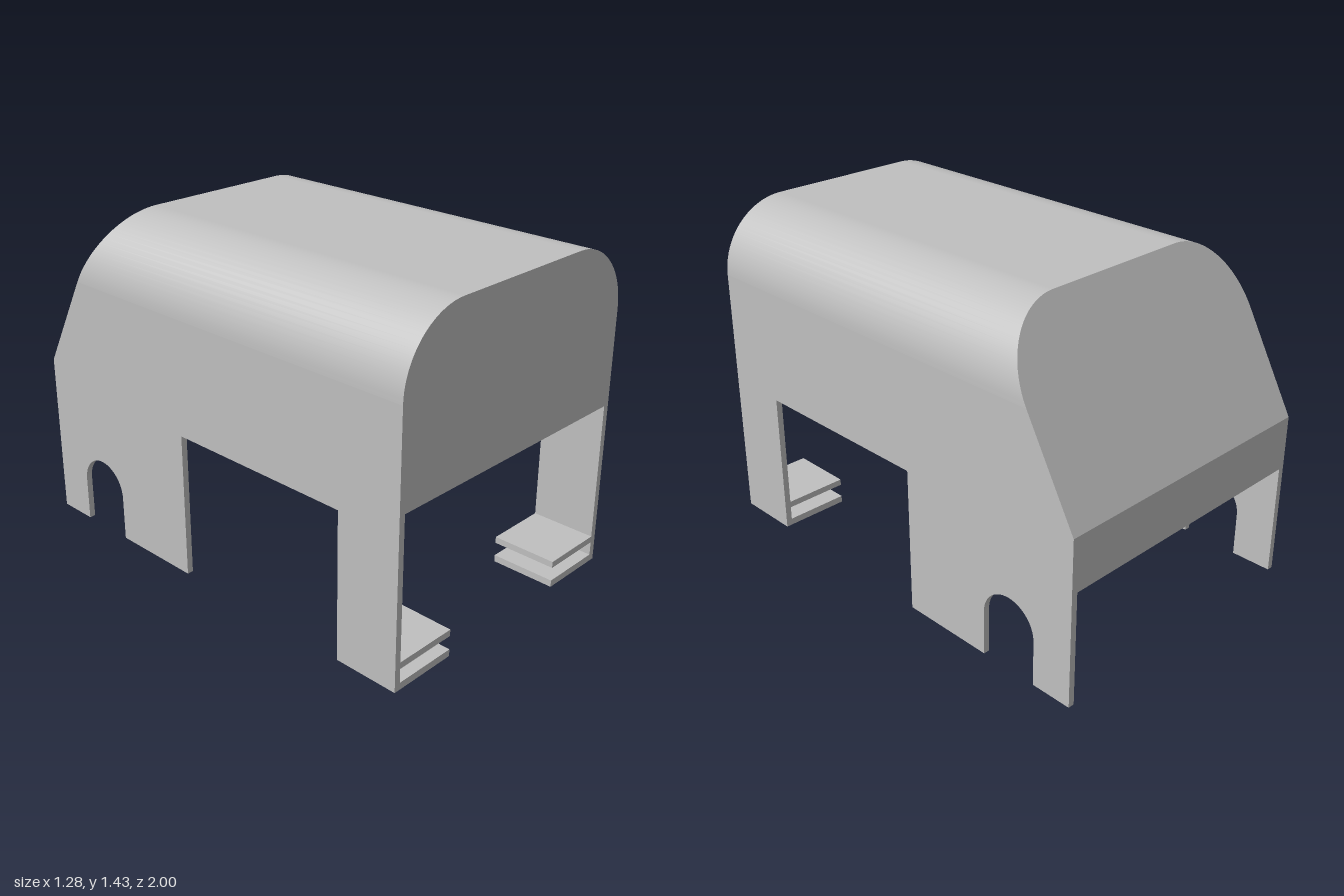
import * as THREE from 'three';

const W = 0.64, H = 1.43, R = 0.3, T = 0.027; // half width, height, corner radius, wall thickness
const SPRING = H - R;                         // where the side walls start to curve
const KNEE = 0.72, BACK_LOW = 0.49;           // foot of the slope, lower edge of the back
const SLOPE = 0.395 / (H - KNEE);
const backZ = (y) => -1 + Math.max(0, y - KNEE) * SLOPE;

const shellGrey = new THREE.MeshStandardMaterial({ color: 0xc0c0c0, side: THREE.DoubleSide });
shellGrey.name = 'light grey';

function add(parent, name, geometry) {
  const mesh = new THREE.Mesh(geometry, shellGrey);
  mesh.name = name;
  parent.add(mesh);
  return mesh;
}

// Smooth surface through rows of points
function loft(rows) {
  const n = rows[0].length, index = [];
  for (let i = 0; i < rows.length - 1; i++) {
    for (let j = 0; j < n - 1; j++) {
      const a = i * n + j, b = a + n;
      index.push(a, b, a + 1, b, b + 1, a + 1);
    }
  }
  const g = new THREE.BufferGeometry();
  g.setAttribute('position', new THREE.Float32BufferAttribute(rows.flat(2), 3));
  g.setIndex(index);
  g.computeVertexNormals();
  return g;
}

// Rounded roof outline from +x to -x, inset by t
function arch(t, steps = 20) {
  const pts = [];
  for (const side of [0, 1]) {
    for (let i = 0; i <= steps; i++) {
      const a = (side + i / steps) * Math.PI / 2;
      pts.push([(side ? -1 : 1) * (W - R) + (R - t) * Math.cos(a), SPRING + (R - t) * Math.sin(a)]);
    }
  }
  return pts;
}

// Inner half width of the tunnel at height y
function innerHalf(y) {
  const d = Math.max(0, y - SPRING), r = R - T;
  return W - R + Math.sqrt(Math.max(0, r * r - d * d));
}

export function createModel() {
  const model = new THREE.Group();
  model.name = 'hood';

  // Curved roof: outer skin, inner skin and the two edges
  const roof = new THREE.Group();
  roof.name = 'roof';
  model.add(roof);
  const outer = arch(0), inner = arch(T);
  const atFront = ([x, y]) => [x, y, 1], atBack = ([x, y]) => [x, y, backZ(y)];
  add(roof, 'roofOuter', loft(outer.map((p) => [atBack(p), atFront(p)])));
  add(roof, 'roofInner', loft(inner.map((p) => [atFront(p), atBack(p)])));
  add(roof, 'roofFrontEdge', loft(outer.map((p, i) => [atFront(p), atFront(inner[i])])));
  add(roof, 'roofBackEdge', loft(outer.map((p, i) => [atBack(inner[i]), atBack(p)])));

  // Side wall outline, drawn with u = -z
  const side = new THREE.Shape();
  side.moveTo(-1, 0);
  side.lineTo(-0.715, 0);
  side.lineTo(-0.715, 0.635);
  side.lineTo(0.14, 0.635);
  side.lineTo(0.14, 0);
  side.lineTo(0.56, 0);
  side.lineTo(0.56, 0.195);
  side.absarc(0.69, 0.195, 0.13, Math.PI, 0, true);
  side.lineTo(0.82, 0);
  side.lineTo(1, 0);
  side.lineTo(1, KNEE);
  side.lineTo(-backZ(SPRING), SPRING);
  side.lineTo(-1, SPRING);
  side.closePath();

  for (const [s, label] of [[1, 'left'], [-1, 'right']]) {
    const wall = new THREE.ExtrudeGeometry(side, { depth: T, bevelEnabled: false, curveSegments: 24 });
    wall.rotateY(Math.PI / 2);
    wall.translate(s > 0 ? W - T : -W, 0, 0);
    add(model, label + 'SideWall', wall);

    // Paired foot plates under each front leg
    for (const [y, h, name] of [[0, 0.03, 'LowerFootPlate'], [0.09, 0.028, 'UpperFootPlate']]) {
      const plate = new THREE.BoxGeometry(W - T - 0.33, h, 0.285);
      plate.translate(s * (W - T + 0.33) / 2, y + h / 2, 0.8575);
      add(model, label + name, plate);
    }
  }

  // Front wall fills the inside of the arch
  const front = new THREE.Shape([
    [T - W, KNEE], [W - T, KNEE], ...inner,
  ].map(([x, y]) => new THREE.Vector2(x, y)));
  const frontGeo = new THREE.ExtrudeGeometry(front, { depth: T, bevelEnabled: false });
  frontGeo.translate(0, 0, 1 - T);
  add(model, 'frontWall', frontGeo);

  // Back wall: vertical strip, sloping panel, softly curved inside
  const back = new THREE.Group();
  back.name = 'backWall';
  model.add(back);
  const row = (y, z) => [[-innerHalf(y), y, z], [innerHalf(y), y, z]];
  const corner = [];
  for (let i = 0; i <= 20; i++) corner.push(SPRING + (R - T) * Math.sin(i / 20 * Math.PI / 2));
  add(back, 'backStrip', loft([BACK_LOW, KNEE].map((y) => row(y, -1))));
  add(back, 'backSlope', loft([KNEE, ...corner].map((y) => row(y, backZ(y)))));
  const bendTop = 0.94, gap = 0.031, rise = backZ(bendTop) + gap - (T - 1);
  const lining = [];
  for (let i = 0; i <= 12; i++) {
    const t = i / 12;
    lining.push(row(BACK_LOW + (bendTop - BACK_LOW) * t, T - 1 + rise * t * t).reverse());
  }
  for (const y of corner) lining.push(row(y, backZ(y) + gap).reverse());
  add(back, 'backLining', loft(lining));
  add(back, 'backLowerEdge', loft([row(BACK_LOW, T - 1), row(BACK_LOW, -1)]));

  return model;
}
